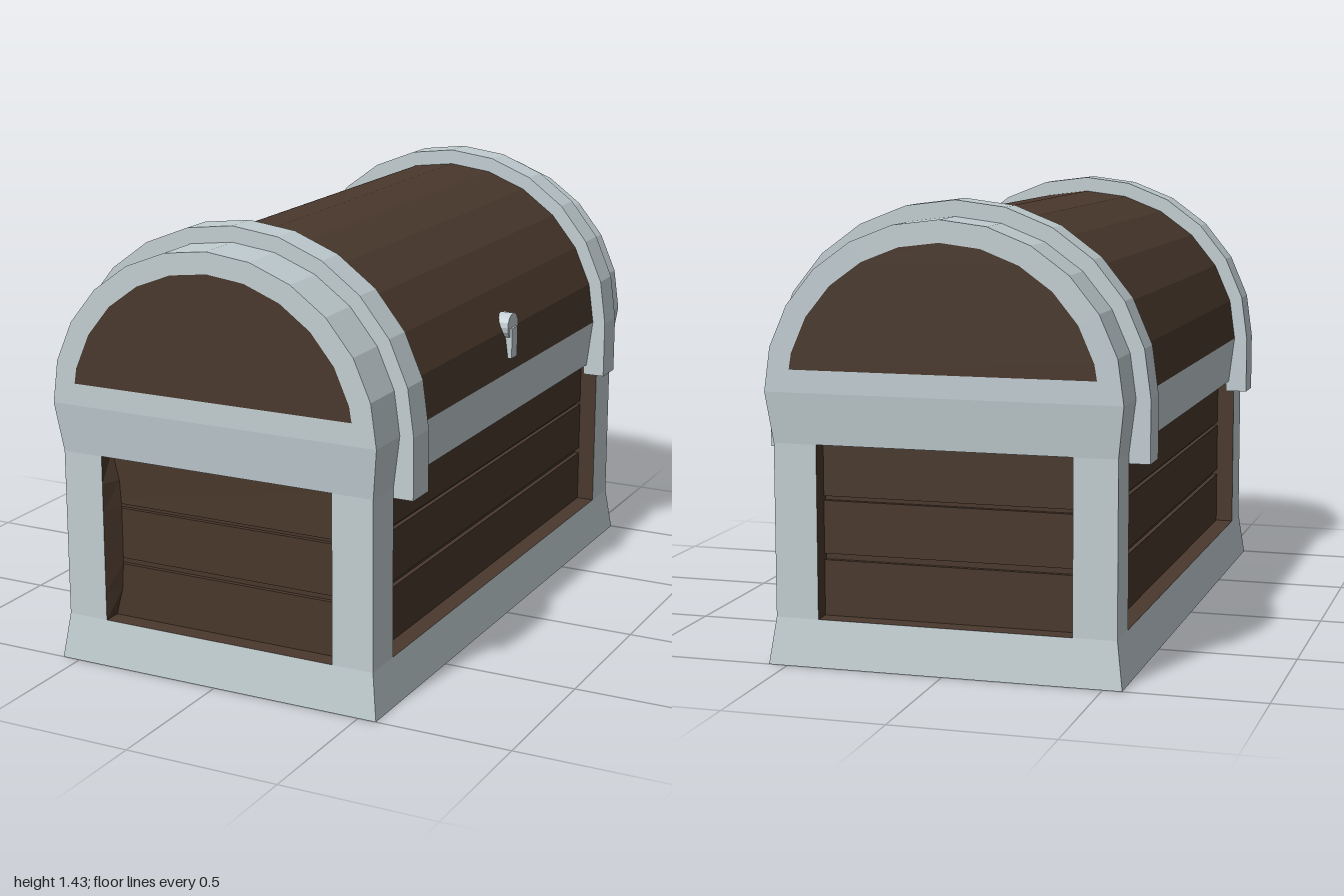
import * as THREE from 'three';

const mat = (color) => new THREE.MeshStandardMaterial({ color, flatShading: true });

export function createModel() {
  const chest = new THREE.Group();
  const metal = mat(0xc2ced2);
  const wood = mat(0x49382c);
  const add = (name, geometry, material, x = 0, y = 0, z = 0) => {
    const mesh = new THREE.Mesh(geometry, material);
    mesh.name = name;
    mesh.position.set(x, y, z);
    chest.add(mesh);
    return mesh;
  };

  // Rail around the body, tapering between two half sizes
  const rail = (name, y0, y1, bottom, top) => {
    const g = new THREE.BoxGeometry(2, 1, 2);
    const p = g.attributes.position;
    for (let i = 0; i < p.count; i++) {
      const up = p.getY(i) > 0;
      const [hx, hz] = up ? top : bottom;
      p.setXYZ(i, p.getX(i) * hx, up ? y1 : y0, p.getZ(i) * hz);
    }
    g.computeVertexNormals();
    add(name, g, [metal, metal, wood, wood, metal, metal]);
  };
  rail('bottomRail', 0, 0.147, [0.56, 1], [0.54, 0.98]);
  rail('topRail', 0.69, 0.85, [0.54, 0.98], [0.56, 1]);

  // Corner posts, metal outside and wood on the recess sides
  for (const sx of [-1, 1]) for (const sz of [-1, 1]) {
    const sides = [
      sx > 0 ? metal : wood, sx > 0 ? wood : metal, wood, wood,
      sz > 0 ? metal : wood, sz > 0 ? wood : metal,
    ];
    add('cornerPost', new THREE.BoxGeometry(0.137, 0.543, 0.135), sides,
      sx * 0.4715, 0.4185, sz * 0.9125);
  }

  // Recessed planks around a slightly smaller core
  add('bodyCore', new THREE.BoxGeometry(0.93, 0.543, 1.81), wood, 0, 0.4185, 0);
  for (const [y0, y1] of [[0.147, 0.322], [0.342, 0.508], [0.522, 0.69]]) {
    add('plank', new THREE.BoxGeometry(0.96, y1 - y0, 1.84), wood, 0, (y0 + y1) / 2, 0);
  }

  // Bowed edge of the front panel, beside its left-hand post
  const bow = new THREE.PlaneGeometry(1, 0.543, 1, 6);
  const bp = bow.attributes.position;
  for (let i = 0; i < bp.count; i++) {
    const y = bp.getY(i), t = y / 0.2715;
    const back = bp.getX(i) > 0;
    bp.setXYZ(i, back ? -0.403 + 0.03 * (1 - t ** 4) : -0.403, y + 0.4185, back ? 0.92 : 0.98);
  }
  bow.computeVertexNormals();
  add('bowedPanelEdge', bow, wood).material = wood;

  // Half ellipse from right to left, twelve facets
  const arch = (rx, ry, from = 0) => {
    const pts = [];
    for (let i = 0; i <= 12; i++) {
      const a = i * Math.PI / 12;
      pts.push(new THREE.Vector2(rx * Math.cos(a), 0.85 + ry * Math.sin(a)));
    }
    if (from) { // cut the ends off level at the given height
      const x = rx * Math.cos(Math.asin((from - 0.85) / ry)) - 0.003;
      pts[0].set(x, from);
      pts[12].set(-x, from);
    }
    return pts;
  };
  const extrude = (shape, depth) =>
    new THREE.ExtrudeGeometry(shape, { depth, bevelEnabled: false });

  // Barrel lid
  add('lid', extrude(new THREE.Shape(arch(0.56, 0.53)), 1.6), wood, 0, 0, -0.8);

  const capShape = new THREE.Shape(arch(0.56, 0.53));
  capShape.holes.push(new THREE.Path(arch(0.488, 0.462, 0.92)));
  const gableShape = new THREE.Shape(arch(0.488, 0.462, 0.92));

  // Raised strap with straight legs hanging below the lid
  const strapShape = new THREE.Shape([
    new THREE.Vector2(0.605, 0.655), ...arch(0.605, 0.58), new THREE.Vector2(-0.605, 0.655),
    new THREE.Vector2(-0.53, 0.655), ...arch(0.53, 0.5).reverse(), new THREE.Vector2(0.53, 0.655),
  ]);

  for (const s of [-1, 1]) {
    const z = (a, b) => (s > 0 ? a : -b);
    add('lidEndCap', extrude(capShape, 0.2), metal, 0, 0, z(0.8, 1));
    add('gablePanel', extrude(gableShape, 0.2), wood, 0, 0, z(0.8, 1));
    add('lidStrap', extrude(strapShape, 0.105), metal, 0, 0, z(0.74, 0.845));
  }

  // Keyhole plate on the long side
  const disc = new THREE.CylinderGeometry(0.043, 0.043, 0.06, 16).rotateZ(Math.PI / 2);
  add('keyholeDisc', disc, metal, 0.53, 1, 0);
  add('keyholeSlot', new THREE.BoxGeometry(0.04, 0.1, 0.046), metal, 0.547, 0.945, 0);

  return chest;
}
